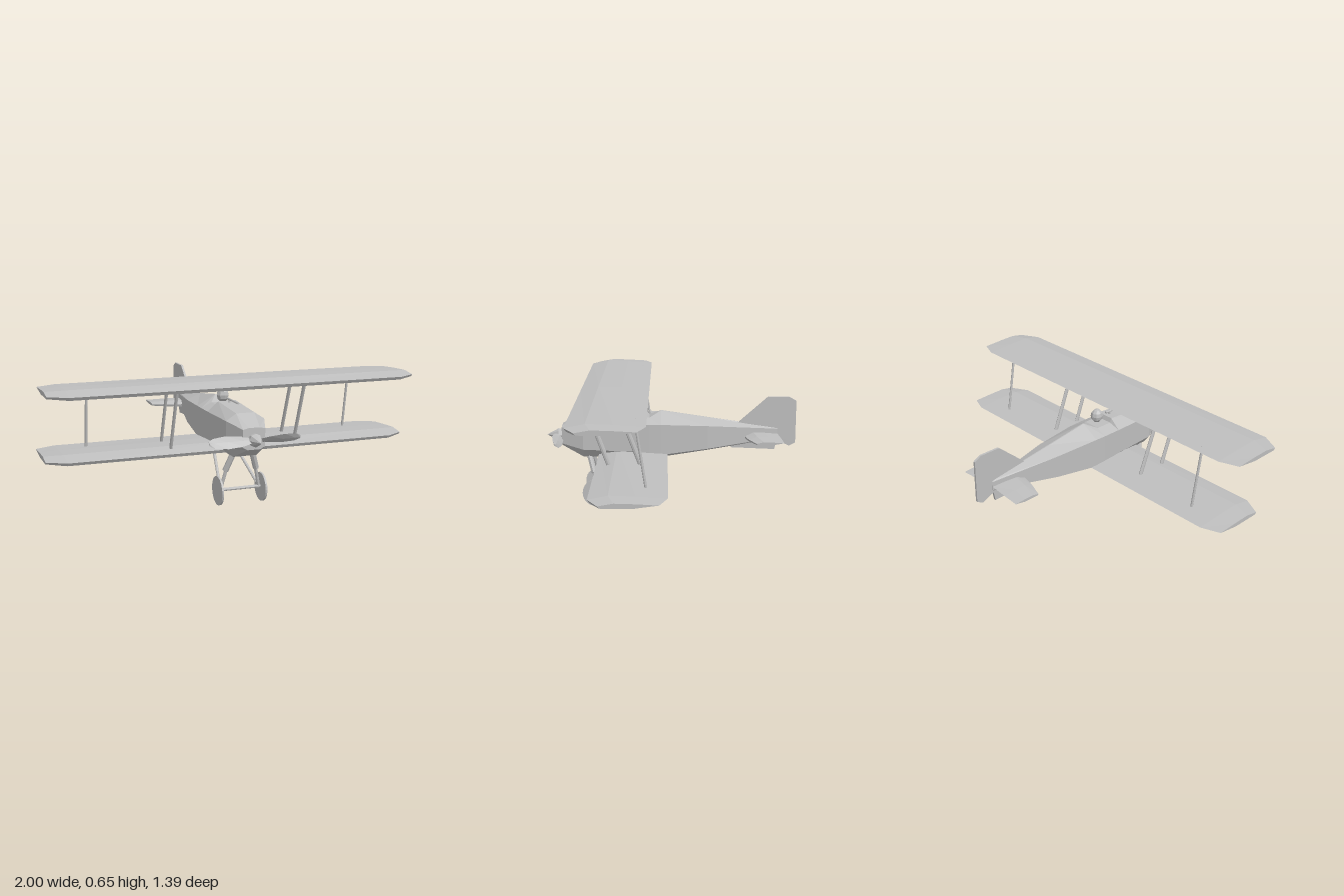
import * as THREE from 'three';

const grey = new THREE.MeshStandardMaterial({ color: 0xbebebe });
grey.name = 'plain grey';

// Faceted mesh from any geometry
function part(name, geometry, parent) {
  const g = geometry.index ? geometry.toNonIndexed() : geometry;
  g.computeVertexNormals();
  const mesh = new THREE.Mesh(g, grey);
  mesh.name = name;
  parent.add(mesh);
  return mesh;
}

// Closed skin through equal-length rings of [x, y, z], capped at both ends
function loft(rings) {
  const n = rings[0].length, index = [];
  for (let r = 0; r < rings.length - 1; r++) {
    for (let i = 0; i < n; i++) {
      const a = r * n + i, b = r * n + (i + 1) % n;
      index.push(a, b, b + n, a, b + n, a + n);
    }
  }
  const last = (rings.length - 1) * n;
  for (let i = 1; i < n - 1; i++) {
    index.push(0, i + 1, i, last, last + i, last + i + 1);
  }
  // Turn the faces outward if the enclosed volume is negative
  const p = rings.flat().map(v => new THREE.Vector3(...v));
  const centre = p.reduce((s, v) => s.add(v), new THREE.Vector3()).divideScalar(p.length);
  p.forEach(v => v.sub(centre));
  let volume = 0;
  for (let i = 0; i < index.length; i += 3) {
    volume += p[index[i]].dot(p[index[i + 1]].clone().cross(p[index[i + 2]]));
  }
  if (volume < 0) index.reverse();
  const g = new THREE.BufferGeometry();
  g.setAttribute('position', new THREE.Float32BufferAttribute(rings.flat(2), 3));
  g.setIndex(index);
  return g;
}

// Straight rod between two points; depth stretches it fore and aft
function rod(name, from, to, radius, parent, depth = 1) {
  const a = new THREE.Vector3(...from), b = new THREE.Vector3(...to);
  const d = b.clone().sub(a);
  const g = new THREE.CylinderGeometry(radius, radius, d.length(), 8);
  g.scale(1, 1, depth);
  g.applyQuaternion(new THREE.Quaternion().setFromUnitVectors(
    new THREE.Vector3(0, 1, 0), d.normalize()));
  g.translate(...a.add(b).multiplyScalar(0.5).toArray());
  return part(name, g, parent);
}

// Wing profile: [fraction of chord from the front, height]
const PROFILE = [[0, 0], [0.26, 0.022], [0.6, 0.017], [1, 0.006], [0.57, -0.021], [0.03, -0.018]];

// stations: [x, front z, back z, thickness scale]
function wing(name, y, stations, parent) {
  return part(name, loft(stations.map(([x, front, back, k]) =>
    PROFILE.map(([t, h]) => [x, y + h * k, front + (back - front) * t]))), parent);
}

const mirrored = s => [...s.map(([x, ...r]) => [-x, ...r]),
  ...s.slice().reverse().filter(([x]) => x !== 0)];

// Upright plate outlined by [z, y] points
function plate(name, outline, thickness, parent) {
  return part(name, loft([-1, 1].map(s =>
    outline.map(([z, y]) => [s * thickness / 2, y, z]))), parent);
}

export function createModel() {
  const plane = new THREE.Group();
  plane.name = 'biplane';

  // Fuselage: [z, top, top half width, shoulder, half width, low edge, bottom, bottom half width]
  const sections = [
    [0.605, 0.443, 0.03, 0.436, 0.06, 0.345, 0.33, 0.035],
    [0.485, 0.496, 0.05, 0.46, 0.105, 0.32, 0.27, 0.065],
    [0.225, 0.512, 0.05, 0.46, 0.11, 0.31, 0.27, 0.07],
    [0.215, 0.488, 0.05, 0.46, 0.11, 0.31, 0.27, 0.07],
    [0.12, 0.488, 0.05, 0.46, 0.11, 0.295, 0.27, 0.07],
    [0.055, 0.52, 0.003, 0.46, 0.108, 0.29, 0.27, 0.07],
    [-0.2, 0.481, 0.003, 0.447, 0.083, 0.318, 0.304, 0.05],
    [-0.595, 0.422, 0.002, 0.414, 0.008, 0.366, 0.36, 0.005],
  ];
  part('fuselage', loft(sections.map(([z, top, tw, sh, w, low, bot, bw]) => [
    [-tw, top, z], [tw, top, z], [w, sh, z], [w, low, z],
    [bw, bot, z], [-bw, bot, z], [-w, low, z], [-w, sh, z],
  ])), plane);

  // Wings and tailplane
  wing('upperWing', 0.633, mirrored([[1, 0.445, 0.16, 0.6], [0.9, 0.5, 0.12, 0.9], [0, 0.5, 0.12, 1]]), plane);
  wing('lowerWing', 0.289, mirrored([[1, 0.345, 0.06, 0.6], [0.9, 0.4, 0.02, 0.9], [0, 0.4, 0.02, 1]]), plane);
  wing('tailplane', 0.38, mirrored([[0.215, -0.46, -0.61, 0.4],
    [0.12, -0.425, -0.605, 0.7], [0, -0.4, -0.595, 0.9]]), plane);

  // Fin with rudder, and the lower tail fin
  plate('finAndRudder', [[-0.37, 0.445], [-0.54, 0.595], [-0.657, 0.595], [-0.697, 0.572],
    [-0.697, 0.335], [-0.662, 0.316], [-0.592, 0.38]], 0.012, plane);
  plate('lowerFin', [[-0.33, 0.345], [-0.335, 0.307], [-0.58, 0.296], [-0.595, 0.375]], 0.012, plane);

  // Spinner
  const spinner = new THREE.LatheGeometry([[0, -0.02], [0.03, -0.02], [0.035, 0.025], [0.022, 0.05], [0, 0.09]]
    .map(([r, h]) => new THREE.Vector2(r, h)), 8);
  spinner.rotateX(Math.PI / 2).translate(0, 0.382, 0.603);
  part('spinner', spinner, plane);

  // Propeller: two twisted blades, [distance from hub, half chord, twist]
  const stations = [[0.01, 0.014, 1.0], [0.07, 0.032, 0.9], [0.15, 0.037, 0.75], [0.22, 0.027, 0.65], [0.245, 0.012, 0.6]];
  for (let i = 0; i < 2; i++) {
    const blade = loft(stations.map(([x, c, a]) =>
      [[c, 0], [0, 0.005], [-c, 0], [0, -0.005]].map(([u, v]) => [
        x, u * Math.cos(a) - v * Math.sin(a), u * Math.sin(a) + v * Math.cos(a)])));
    blade.rotateZ(i * Math.PI).translate(0, 0.382, 0.622);
    part('propellerBlade', blade, plane);
  }

  // Pilot's head and nose gun
  const head = new THREE.SphereGeometry(0.036, 8, 6);
  head.scale(0.95, 1.1, 1).translate(0, 0.534, 0.16);
  part('pilotHead', head, plane);
  rod('gun', [0, 0.527, 0.39], [0, 0.527, 0.23], 0.006, plane);
  rod('gunMount', [0, 0.49, 0.26], [0, 0.527, 0.26], 0.006, plane);

  for (const s of [-1, 1]) {
    // Wing struts
    rod('innerFrontStrut', [s * 0.35, 0.29, 0.325], [s * 0.35, 0.628, 0.447], 0.008, plane, 1.6);
    rod('innerRearStrut', [s * 0.35, 0.29, 0.157], [s * 0.35, 0.628, 0.283], 0.008, plane, 1.6);
    rod('outerStrut', [s * 0.75, 0.29, 0.125], [s * 0.75, 0.642, 0.178], 0.007, plane);

    // Landing gear legs
    rod('gearLegSleeve', [s * 0.05, 0.29, 0.457], [s * 0.086, 0.185, 0.428], 0.016, plane);
    rod('gearLeg', [s * 0.08, 0.2, 0.432], [s * 0.108, 0.08, 0.413], 0.009, plane);
    rod('gearBrace', [s * 0.055, 0.285, 0.145], [s * 0.108, 0.085, 0.413], 0.008, plane);

    // Wheels
    const wheel = new THREE.CylinderGeometry(0.077, 0.077, 0.01, 28);
    wheel.rotateZ(Math.PI / 2).translate(s * 0.121, 0.077, 0.415);
    part('wheel', wheel, plane);
  }
  rod('axle', [-0.125, 0.08, 0.415], [0.125, 0.08, 0.415], 0.009, plane);

  return plane;
}
